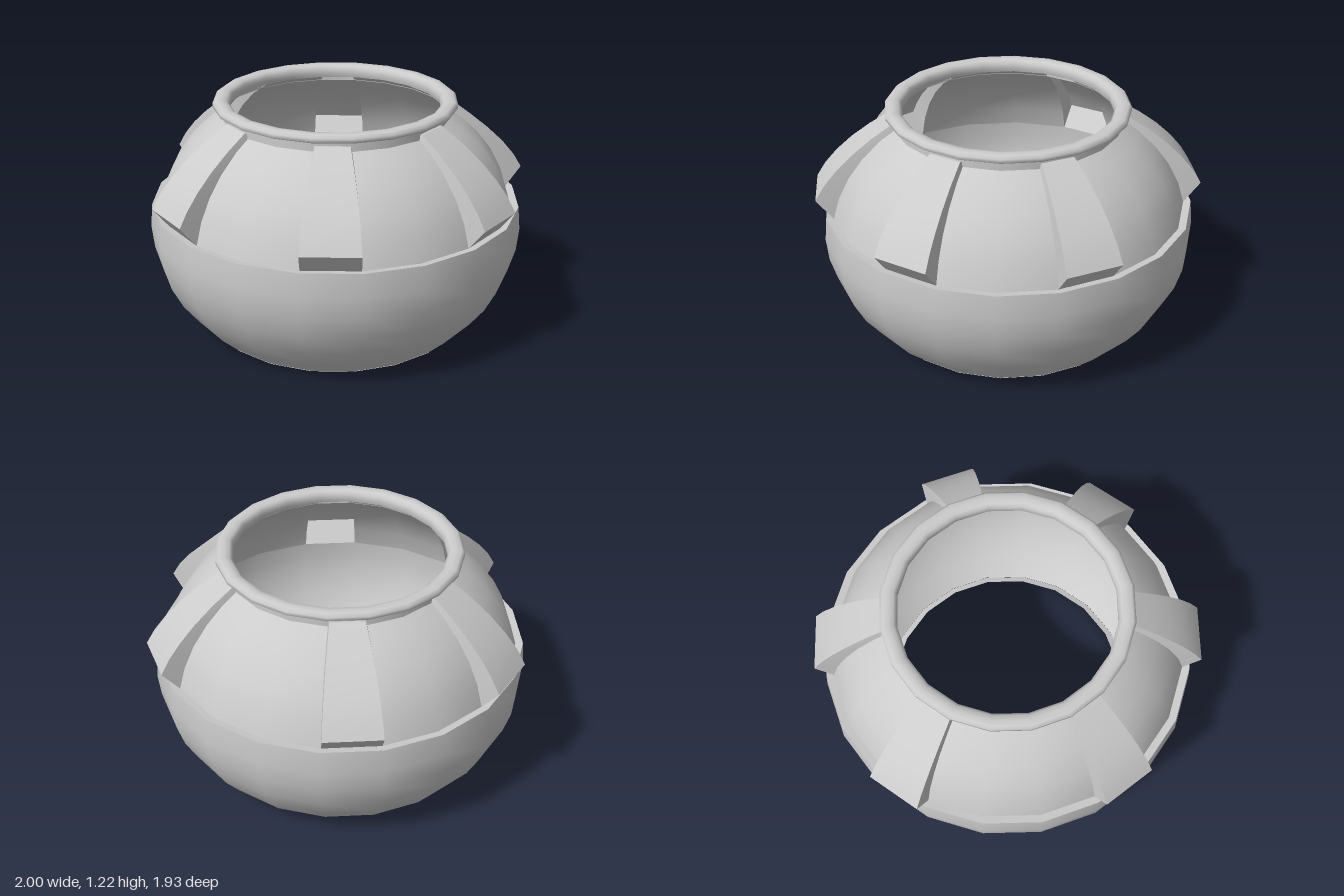
import * as THREE from 'three';
import { toCreasedNormals } from 'three/addons/utils/BufferGeometryUtils.js';

const SIDES = 20;
const STEP = (Math.PI * 2) / SIDES; // one facet, 18 degrees
const MID_Y = 0.55;
const RIB_FACETS = [1, 4, 8, 11, 15, 18];

const material = new THREE.MeshStandardMaterial({ color: 0xcccccc, side: THREE.DoubleSide });

// Points on a squashed sphere between two latitudes, in 9 degree rings
function arc(radius, height, from, to) {
  const points = [];
  for (let lat = from; lat <= to; lat += 9) {
    const a = THREE.MathUtils.degToRad(lat);
    points.push(new THREE.Vector2(radius * Math.cos(a), MID_Y + height * Math.sin(a)));
  }
  return points;
}

function lathe(name, points, first = 0, count = SIDES) {
  const geometry = new THREE.LatheGeometry(points, count, first * STEP, count * STEP);
  const mesh = new THREE.Mesh(geometry, material);
  mesh.name = name;
  return mesh;
}

// Hollow raised rib over one facet: thick at the foot, thin at the neck
function ribGeometry(profile) {
  const rows = profile.map((p, i) => {
    const s = 1 - i / (profile.length - 1);
    const x = p.x * Math.sin(STEP / 2);
    const z = p.x * Math.cos(STEP / 2);
    const out = z + 0.05 + 0.035 * s * s;
    const up = p.y + 0.003 + 0.105 * s * s;
    return { aIn: [-x, p.y, z], bIn: [x, p.y, z], aOut: [-x, up, out], bOut: [x, up, out] };
  });
  const positions = [];
  const quad = (a, b, c, d) => positions.push(...a, ...b, ...c, ...a, ...c, ...d);
  for (let i = 0; i < rows.length - 1; i++) {
    const r = rows[i], n = rows[i + 1];
    quad(r.aOut, r.bOut, n.bOut, n.aOut); // outer face
    quad(r.bOut, r.bIn, n.bIn, n.bOut); // side walls
    quad(r.aIn, r.aOut, n.aOut, n.aIn);
  }
  const foot = rows[0], top = rows[rows.length - 1];
  quad(foot.aIn, foot.bIn, foot.bOut, foot.aOut);
  quad(top.aOut, top.bOut, top.bIn, top.aIn);
  const geometry = new THREE.BufferGeometry();
  geometry.setAttribute('position', new THREE.Float32BufferAttribute(positions, 3));
  return toCreasedNormals(geometry, Math.PI / 6);
}

export function createModel() {
  const model = new THREE.Group();
  const bowlProfile = arc(0.965, 0.775, -45, 9);
  const domeProfile = arc(0.926, 0.74, 9, 54);

  // Lower bowl with its top ledge and the ring round the open bottom
  const bowl = new THREE.Group();
  bowl.name = 'bowl';
  bowl.add(
    lathe('bowlWall', bowlProfile),
    lathe('bowlLedge', [bowlProfile[bowlProfile.length - 1], domeProfile[0]]),
    lathe('bottomRing', [new THREE.Vector2(0.65, 0.01), new THREE.Vector2(bowlProfile[0].x, 0)])
  );
  model.add(bowl);

  // Upper dome panels between the ribs, and the ribs
  const dome = new THREE.Group();
  dome.name = 'dome';
  const ribs = new THREE.Group();
  ribs.name = 'ribs';
  const ribShape = ribGeometry(domeProfile);
  RIB_FACETS.forEach((facet, i) => {
    const next = RIB_FACETS[(i + 1) % RIB_FACETS.length];
    const count = (next - facet - 1 + SIDES) % SIDES;
    dome.add(lathe('domePanel', domeProfile, facet + 1, count));

    const rib = new THREE.Mesh(ribShape, material);
    rib.name = 'rib';
    rib.rotation.y = (facet + 0.5) * STEP;
    ribs.add(rib);
  });
  model.add(dome, ribs);

  // Short neck and rounded rim round the mouth
  const neck = lathe('neck', [new THREE.Vector2(0.582, 1.12), new THREE.Vector2(0.582, 1.176)]);
  const rimProfile = [
    [0.582, 1.175], [0.612, 1.175], [0.623, 1.182], [0.623, 1.2], [0.608, 1.213],
    [0.58, 1.215], [0.555, 1.21], [0.54, 1.195], [0.538, 1.17], [0.544, 1.149],
  ].map(([x, y]) => new THREE.Vector2(x, y));
  model.add(neck, lathe('rim', rimProfile));

  return model;
}
